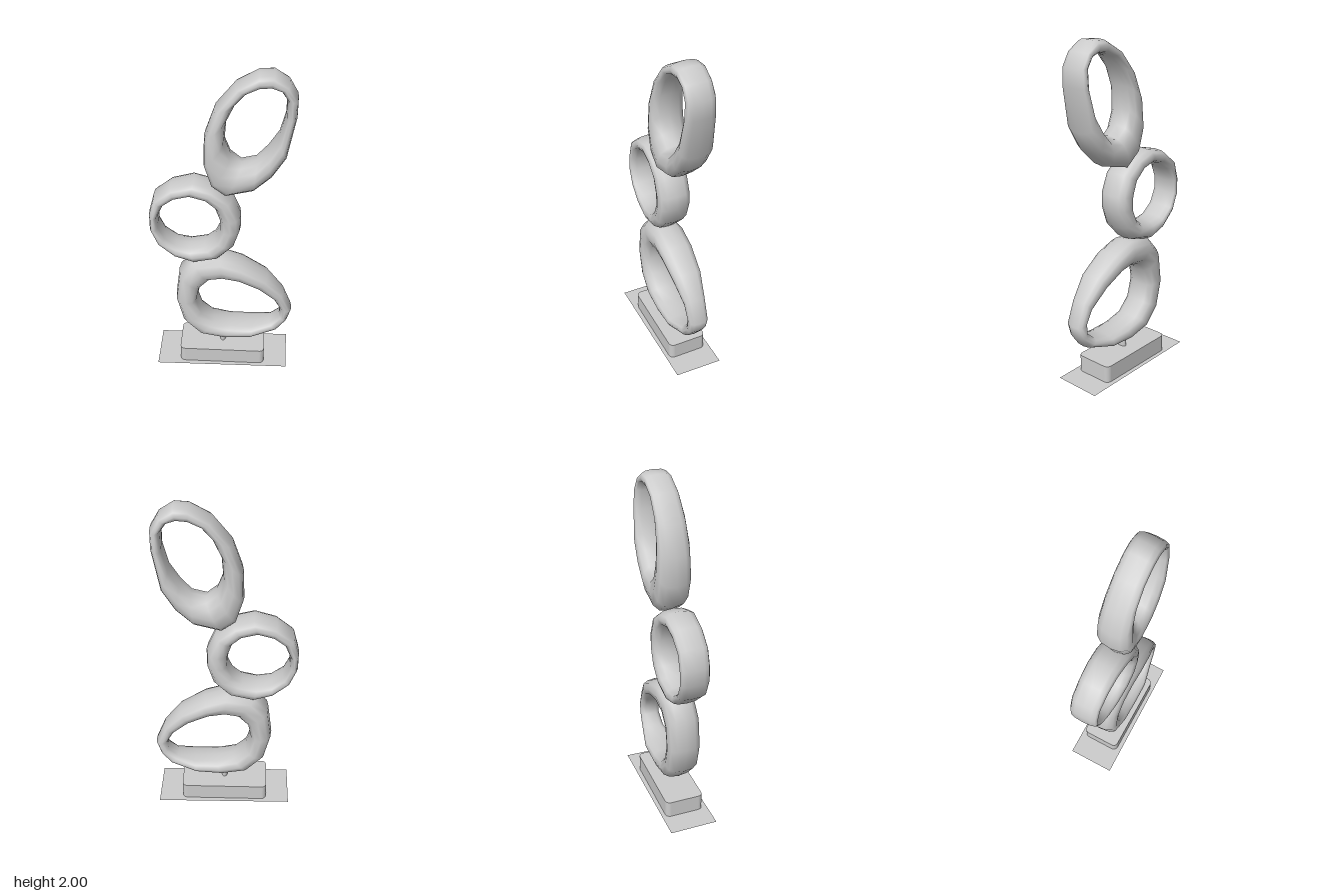
import * as THREE from 'three';

const material = new THREE.MeshStandardMaterial({ color: 0xcccccc, side: THREE.DoubleSide });
const SIDES = 12;

// Band swept round a loop; each station is [outerX, outerY, innerX, innerY],
// depth(x, y) gives [back z, front z] of the band there.
function ring(name, stations, depth) {
  const pos = [], index = [], n = stations.length;
  const soften = (v) => Math.sign(v) * Math.abs(v) ** 0.8;
  stations.forEach(([ox, oy, ix, iy], i) => {
    const [back, front] = depth((ox + ix) / 2, (oy + iy) / 2);
    for (let j = 0; j < SIDES; j++) {
      const a = (j / SIDES) * Math.PI * 2;
      const t = 0.5 + 0.5 * soften(Math.cos(a));
      const z = (back + front) / 2 + ((front - back) / 2) * soften(Math.sin(a));
      pos.push(ix + (ox - ix) * t, iy + (oy - iy) * t, z);
      const k = (j + 1) % SIDES, p = i * SIDES, q = ((i + 1) % n) * SIDES;
      index.push(p + j, p + k, q + j, p + k, q + k, q + j);
    }
  });
  const g = new THREE.BufferGeometry();
  g.setAttribute('position', new THREE.Float32BufferAttribute(pos, 3));
  g.setIndex(index);
  g.computeVertexNormals();
  const mesh = new THREE.Mesh(g, material);
  mesh.name = name;
  return mesh;
}

const lerp = THREE.MathUtils.lerp, step = THREE.MathUtils.smoothstep;

const upper = [
  [0.18, 1.99, 0.185, 1.915], [0.26, 1.995, 0.24, 1.92], [0.34, 1.94, 0.29, 1.91],
  [0.385, 1.86, 0.325, 1.86], [0.385, 1.76, 0.325, 1.75], [0.34, 1.51, 0.295, 1.63],
  [0.265, 1.385, 0.24, 1.54], [0.165, 1.29, 0.18, 1.47], [0.01, 1.25, 0.1, 1.45],
  [-0.07, 1.31, 0.04, 1.5], [-0.11, 1.445, 0.005, 1.59], [-0.105, 1.615, 0.015, 1.72],
  [-0.05, 1.78, 0.065, 1.825], [0.06, 1.92, 0.125, 1.89],
];
const middle = [
  [-0.165, 1.33, -0.195, 1.24], [-0.05, 1.295, -0.11, 1.22], [0.05, 1.22, -0.05, 1.165],
  [0.1, 1.1, -0.025, 1.09], [0.1, 1.015, -0.02, 1.01], [0.065, 0.9, -0.055, 0.935],
  [-0.02, 0.81, -0.11, 0.89], [-0.165, 0.77, -0.2, 0.875], [-0.285, 0.81, -0.275, 0.885],
  [-0.385, 0.9, -0.34, 0.935], [-0.425, 1.005, -0.375, 1.01], [-0.425, 1.1, -0.375, 1.085],
  [-0.395, 1.215, -0.34, 1.165], [-0.295, 1.295, -0.275, 1.215],
];
const lower = [
  [-0.02, 0.805, 0, 0.645], [0.115, 0.755, 0.09, 0.635], [0.265, 0.66, 0.205, 0.575],
  [0.365, 0.535, 0.31, 0.475], [0.42, 0.395, 0.345, 0.41], [0.395, 0.315, 0.345, 0.345],
  [0.34, 0.24, 0.285, 0.29], [0.17, 0.185, 0.18, 0.265], [0, 0.17, 0.05, 0.27],
  [-0.155, 0.2, -0.055, 0.295], [-0.25, 0.305, -0.13, 0.365], [-0.29, 0.48, -0.16, 0.465],
  [-0.265, 0.68, -0.14, 0.565], [-0.18, 0.78, -0.08, 0.63],
];

export function createModel() {
  const model = new THREE.Group();
  model.name = 'ringSculpture';

  // Three stacked rings
  model.add(
    ring('upperRing', upper, (x, y) => {
      const t = step(y, 1.45, 1.95);
      return [lerp(-0.1, -0.077, t), lerp(0.104, 0.085, t)];
    }),
    ring('middleRing', middle, (x) => {
      const t = step(x, -0.4, 0.05);
      return [lerp(-0.093, -0.1, t), lerp(0.08, 0.097, t)];
    }),
    ring('lowerRing', lower, (x) => {
      const w = lerp(0.1, 0.062, step(x, 0.15, 0.38));
      return [-w, w];
    }),
  );

  // Short oval post
  const post = new THREE.Mesh(new THREE.CylinderGeometry(0.018, 0.018, 0.11, 16), material);
  post.name = 'post';
  post.scale.z = 1.65;
  post.position.set(-0.003, 0.15, 0);
  model.add(post);

  // Plinth with rounded corners
  const w = 0.265, d = 0.118, r = 0.03;
  const outline = new THREE.Shape();
  outline.absarc(w - r, d - r, r, 0, Math.PI / 2);
  outline.absarc(r - w, d - r, r, Math.PI / 2, Math.PI);
  outline.absarc(r - w, r - d, r, Math.PI, Math.PI * 1.5);
  outline.absarc(w - r, r - d, r, Math.PI * 1.5, Math.PI * 2);
  const block = new THREE.ExtrudeGeometry(outline, { depth: 0.105, bevelEnabled: false, curveSegments: 4 });
  block.rotateX(-Math.PI / 2);
  const plinth = new THREE.Mesh(block, material);
  plinth.name = 'plinth';
  plinth.position.set(-0.004, 0, -0.002);
  model.add(plinth);

  // Thin, slightly skewed ground sheet
  const sheet = new THREE.Shape([[-0.41, -0.147], [0.402, -0.138], [0.407, 0.15], [-0.41, 0.143]]
    .map(([x, y]) => new THREE.Vector2(x, y)));
  const ground = new THREE.Mesh(new THREE.ShapeGeometry(sheet).rotateX(-Math.PI / 2), material);
  ground.name = 'baseSheet';
  model.add(ground);

  return model;
}
